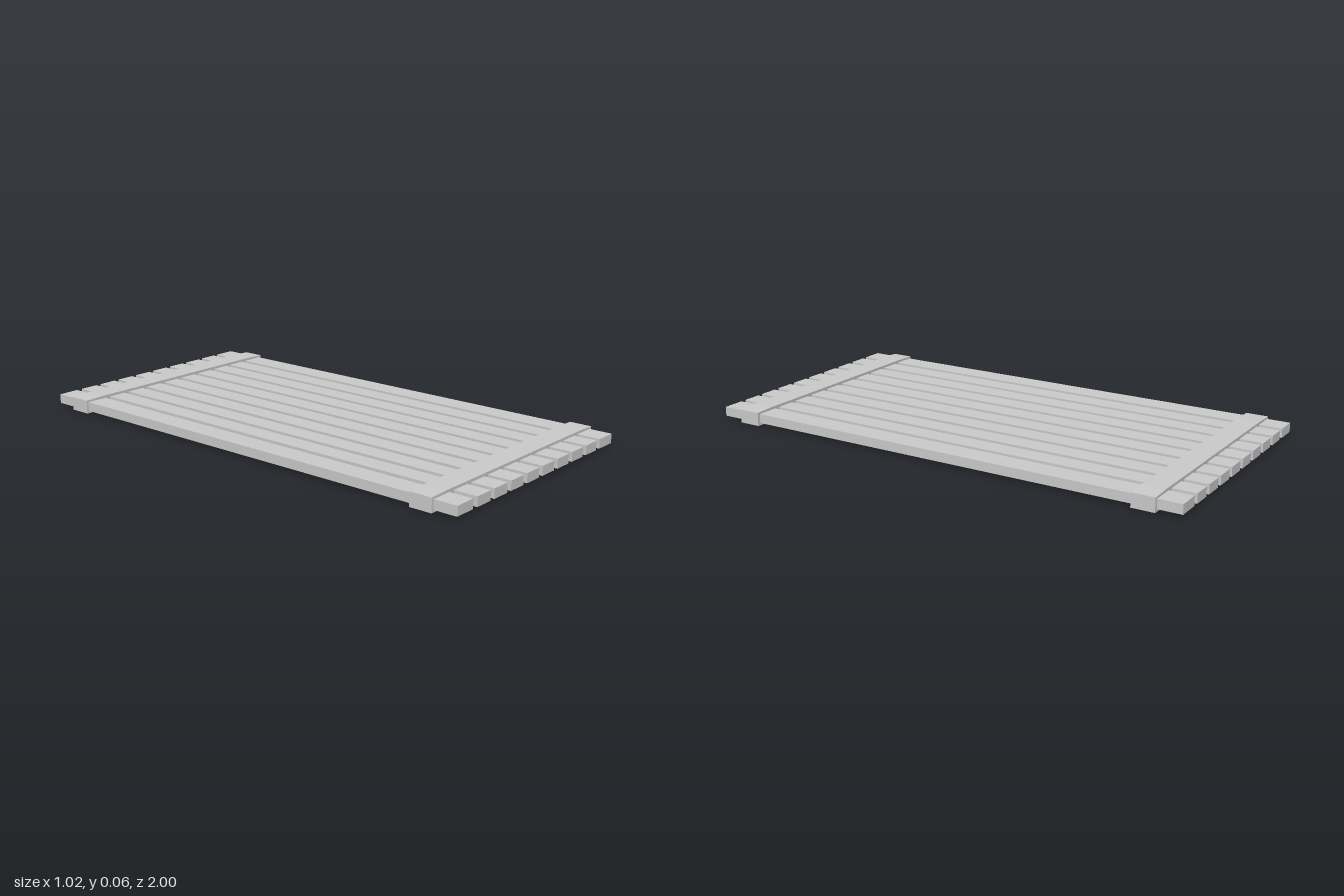
import * as THREE from 'three';

export function createModel() {
  const model = new THREE.Group();
  const material = new THREE.MeshStandardMaterial({ color: 0xcccccc, flatShading: true });

  // Long slats side by side; the two outer ones are a little wider
  const slats = new THREE.Group();
  slats.name = 'slats';
  for (let i = 0; i < 10; i++) {
    let left = -0.49 + i * 0.1, right = left + 0.077;
    if (i === 0) { left = -0.503; right = -0.415; }
    if (i === 9) right = 0.5;
    const slat = new THREE.Mesh(new THREE.BoxGeometry(right - left, 0.037, 2), material);
    slat.position.set((left + right) / 2, 0.031, 0);
    slat.name = `slat${i + 1}`;
    slats.add(slat);
  }
  model.add(slats);

  // Cross bands around both ends, very slightly thicker in the middle
  const profile = new THREE.Shape([
    [-0.512, 0.004], [-0.34, 0.001], [0.34, 0.001], [0.512, 0.004],
    [0.512, 0.058], [0.435, 0.061], [-0.435, 0.061], [-0.512, 0.058],
  ].map(([x, y]) => new THREE.Vector2(x, y - 0.001)));
  const bandGeometry = new THREE.ExtrudeGeometry(profile, { depth: 0.09, bevelEnabled: false });
  bandGeometry.translate(0, 0, -0.045);
  for (const side of [1, -1]) {
    const band = new THREE.Mesh(bandGeometry, material);
    band.position.z = side * 0.862;
    band.name = side > 0 ? 'frontBand' : 'backBand';
    model.add(band);
  }
  return model;
}
